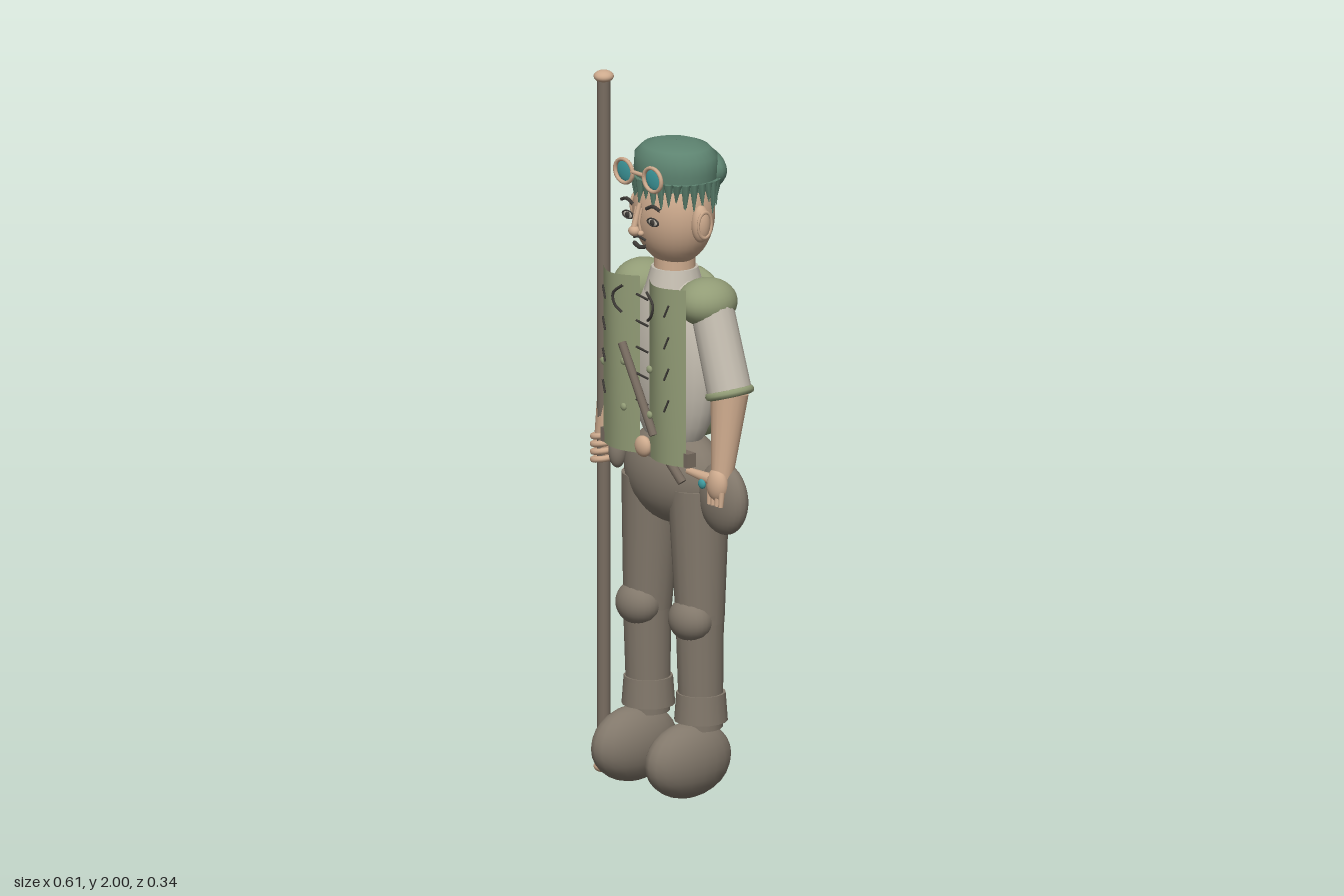
import * as THREE from 'three';

const mat = (name, color, side = THREE.FrontSide) => {
  const m = new THREE.MeshStandardMaterial({ color, side });
  m.name = name;
  return m;
};

export function createModel() {
  const root = new THREE.Group();
  root.name = 'traveller';
  const skin = mat('skin', 0xcdaa8d);
  const cream = mat('cream cloth', 0xc4bdb0);
  const olive = mat('olive cloth', 0x929c76, THREE.DoubleSide);
  const brown = mat('brown cloth', 0x82786b);
  const wood = mat('wood', 0x796d61);
  const green = mat('green hair', 0x5d8370, THREE.DoubleSide);
  const teal = mat('teal glass', 0x3f9ca0);
  const dark = mat('dark lines', 0x3f3c38);
  const CX = -0.015; // body centre line
  const V = (x, y, z) => new THREE.Vector3(x, y, z);

  const add = (name, geo, m, x = 0, y = 0, z = 0) => {
    const mesh = new THREE.Mesh(geo, m);
    mesh.name = name;
    mesh.position.set(x, y, z);
    root.add(mesh);
    return mesh;
  };
  const ball = (name, m, x, y, z, rx, ry = rx, rz = rx, n = 24) =>
    add(name, new THREE.SphereGeometry(1, n, Math.ceil(n * 0.7)).scale(rx, ry, rz), m, x, y, z);
  // tapered round bar from a (radius ra) to b (radius rb)
  const limb = (name, m, a, b, ra, rb = ra, n = 16) => {
    const d = b.clone().sub(a);
    const mesh = add(name, new THREE.CylinderGeometry(rb, ra, d.length(), n), m);
    mesh.position.copy(a).addScaledVector(d, 0.5);
    mesh.quaternion.setFromUnitVectors(V(0, 1, 0), d.normalize());
    return mesh;
  };
  const tube = (name, m, pts, r) =>
    add(name, new THREE.TubeGeometry(new THREE.CatmullRomCurve3(pts.map(p => V(...p))), 10, r, 6), m);
  const ring = (name, m, x, y, z, R, r) => add(name, new THREE.TorusGeometry(R, r, 8, 24), m, x, y, z);

  // torso, hips, belt, back pack
  ball('shirt', cream, CX, 1.22, -0.02, 0.165, 0.27, 0.09);
  ball('hips', brown, CX, 0.9, -0.027, 0.182, 0.14, 0.103);
  add('belt', new THREE.BoxGeometry(0.37, 0.04, 0.03), wood, CX, 0.99, 0.07);
  ball('buckle', skin, CX, 0.995, 0.088, 0.03, 0.03, 0.018);
  ball('backPanel', olive, CX, 1.235, -0.1, 0.172, 0.242, 0.07);
  limb('neck', skin, V(CX, 1.43, -0.025), V(CX, 1.56, -0.025), 0.06, 0.055);
  limb('collar', cream, V(CX, 1.42, -0.025), V(CX, 1.49, -0.025), 0.085, 0.065);

  // legs and arms, mirrored about the centre line
  for (const s of [1, -1]) {
    const X = d => CX + s * d;
    ball('shoe', brown, X(0.115), 0.115, 0.024, 0.075, 0.107, 0.142, 20);
    limb('trouserCuff', brown, V(X(0.112), 0.22, -0.025), V(X(0.112), 0.3, -0.025), 0.074, 0.068);
    limb('shin', brown, V(X(0.112), 0.2, -0.025), V(X(0.112), 0.53, -0.02), 0.06, 0.067);
    ball('kneePad', brown, X(0.112), 0.512, 0.012, 0.07, 0.062, 0.057);
    limb('thigh', brown, V(X(0.112), 0.5, -0.022), V(X(0.098), 0.88, -0.028), 0.067, 0.086);

    ball('shoulder', olive, X(0.135), 1.415, -0.027, 0.08, 0.067, 0.087);
    const shoulder = V(X(0.15), 1.42, -0.027), elbow = V(X(0.228), 1.175, -0.03);
    limb('sleeve', cream, shoulder, elbow, 0.06, 0.062);
    const cuff = add('sleeveCuff', new THREE.TorusGeometry(0.057, 0.012, 8, 24), olive);
    cuff.position.copy(elbow);
    cuff.quaternion.setFromUnitVectors(V(0, 0, 1), elbow.clone().sub(shoulder).normalize());
    limb('forearm', skin, elbow, V(X(0.24), 0.94, 0.008), 0.053, 0.03);

    // vest front: a bowed open sheet
    const panel = new THREE.PlaneGeometry(0.155, 0.505, 12, 8);
    const p = panel.attributes.position;
    for (let i = 0; i < p.count; i++) {
      const u = p.getX(i) / 0.155 + 0.5, v = p.getY(i) / 0.505 + 0.5;
      p.setZ(i, 0.082 + (0.022 + 0.016 * v) * Math.sin(Math.PI * u));
    }
    panel.computeVertexNormals();
    add('vestPanel', panel, olive, X(0.098), 1.2225, 0);
    tube('lapelSeam', dark, [[X(0.05), 1.45, 0.118], [X(0.085), 1.42, 0.125], [X(0.078), 1.39, 0.125], [X(0.055), 1.37, 0.118]], 0.004);
    for (let i = 0; i < 4; i++) {
      const y = 1.43 - i * 0.09;
      limb('stitch', dark, V(X(0.14), y, 0.115), V(X(0.125), y - 0.035, 0.119), 0.003, 0.003, 6);
    }
    for (const y of [1.23, 1.1]) ball('vestButton', olive, X(0.055), y, 0.112, 0.011, 0.011, 0.007, 10);

    // face side: ear, eye, brow
    ball('ear', skin, X(0.125), 1.637, -0.013, 0.025, 0.053, 0.027);
    const fold = ring('earFold', skin, X(0.143), 1.637, -0.013, 0.024, 0.004);
    fold.rotation.y = Math.PI / 2;
    fold.scale.y = 1.5;
    const lid = ring('eyeOutline', dark, X(0.053), 1.646, 0.098, 0.022, 0.003);
    lid.scale.y = 0.5;
    ball('eyeWhite', cream, X(0.053), 1.646, 0.096, 0.021, 0.01, 0.004, 14);
    ball('iris', dark, X(0.053), 1.646, 0.1, 0.009, 0.009, 0.004, 12);
    tube('eyebrow', dark, [[X(0.028), 1.68, 0.1], [X(0.055), 1.692, 0.1], [X(0.083), 1.683, 0.096]], 0.005);
    tube('noseSide', skin, [[X(0.012), 1.68, 0.103], [X(0.012), 1.64, 0.112], [X(0.02), 1.61, 0.112]], 0.004);
    ball('nostril', skin, X(0.018), 1.61, 0.112, 0.01, 0.008, 0.009, 12);

    // goggle half
    const rim = ring('goggleRim', skin, X(0.061), 1.77, 0.106, 0.037, 0.006);
    rim.scale.y = 0.9;
    ball('goggleLens', teal, X(0.061), 1.77, 0.1, 0.034, 0.031, 0.006);
  }

  // head, nose, mouth
  ball('head', skin, CX, 1.647, -0.022, 0.122, 0.15, 0.107, 32);
  limb('noseBridge', skin, V(CX, 1.69, 0.1), V(CX, 1.62, 0.122), 0.006, 0.009, 10);
  ball('noseTip', skin, CX, 1.615, 0.12, 0.018, 0.015, 0.016, 16);
  tube('upperLip', dark, [[CX - 0.026, 1.588, 0.099], [CX, 1.595, 0.103], [CX + 0.026, 1.588, 0.099]], 0.0035);
  tube('lowerLip', dark, [[CX - 0.028, 1.572, 0.097], [CX, 1.565, 0.1], [CX + 0.028, 1.572, 0.097]], 0.006);
  limb('goggleBridge', skin, V(CX - 0.028, 1.775, 0.106), V(CX + 0.028, 1.775, 0.106), 0.006, 0.006, 8);

  // hair: cap, back roll, hanging locks
  const capProfile = [[0.001, 1.847], [0.06, 1.845], [0.1, 1.833], [0.124, 1.81], [0.127, 1.77], [0.122, 1.725]];
  const cap = add('hairCap',
    new THREE.LatheGeometry(capProfile.map(([r, y]) => new THREE.Vector2(r, y)).reverse(), 28), green, CX, 0, -0.03);
  cap.scale.z = 0.86;
  ball('hairBackRoll', green, CX, 1.762, -0.1, 0.115, 0.065, 0.058);
  const locks = 30;
  for (let i = 0; i < locks; i++) {
    const a = (i / locks) * Math.PI * 2, len = 0.045 + 0.013 * ((i * 7) % 4);
    const x = CX + 0.122 * Math.sin(a), z = -0.03 + 0.108 * Math.cos(a);
    const tip = V(x + 0.006 * Math.sin(a * 5), 1.74 - len, z);
    limb('hairLock', green, V(x, 1.75, z), tip, 0.014, 0.001, 6);
  }

  // shirt lacing and slanted strap
  for (let i = 0; i < 5; i++) {
    const y = 1.42 - i * 0.075;
    tube('lace', dark, [[CX - 0.018, y, 0.085], [CX, y + 0.012, 0.11], [CX + 0.018, y - 0.005, 0.085]], 0.0035);
  }
  limb('strap', wood, V(-0.07, 1.285, 0.118), V(0.055, 1.045, 0.11), 0.012, 0.012, 10);
  limb('beltTail', wood, V(0.075, 0.99, 0.085), V(0.13, 0.92, 0.07), 0.013, 0.013, 10);

  // pouch and left hand with a bead
  ball('pouch', brown, 0.207, 0.877, -0.012, 0.092, 0.103, 0.046);
  ball('leftHand', skin, 0.225, 0.925, 0.024, 0.036, 0.048, 0.026);
  limb('leftThumb', skin, V(0.21, 0.94, 0.035), V(0.125, 0.948, 0.045), 0.016, 0.01, 10);
  for (let i = 0; i < 4; i++)
    limb('leftFinger', skin, V(0.2 + i * 0.017, 0.91, 0.03), V(0.205 + i * 0.016, 0.868, 0.036), 0.009, 0.007, 8);
  ball('bead', teal, 0.19, 0.925, 0.05, 0.014, 0.014, 0.008, 14);

  // right hand gripping the staff, hip charm
  limb('wristWrap', skin, V(-0.265, 1.1, -0.01), V(-0.265, 0.96, 0.005), 0.038, 0.036);
  ball('rightHand', skin, -0.25, 0.93, 0.008, 0.03, 0.042, 0.026);
  for (let i = 0; i < 4; i++) {
    const finger = ring('rightFinger', skin, -0.262, 0.963 - i * 0.022, 0.025, 0.027, 0.009);
    finger.rotation.set(Math.PI / 2, 0.2, 0);
  }
  ball('hipCharm', brown, -0.217, 0.925, 0.01, 0.025, 0.048, 0.025);

  // staff with end knobs
  limb('staff', wood, V(-0.266, 0.02, 0.018), V(-0.266, 1.98, 0.018), 0.018, 0.018);
  for (const y of [0.017, 1.983]) ball('staffKnob', skin, -0.266, y, 0.018, 0.028, 0.017, 0.028);

  return root;
}
